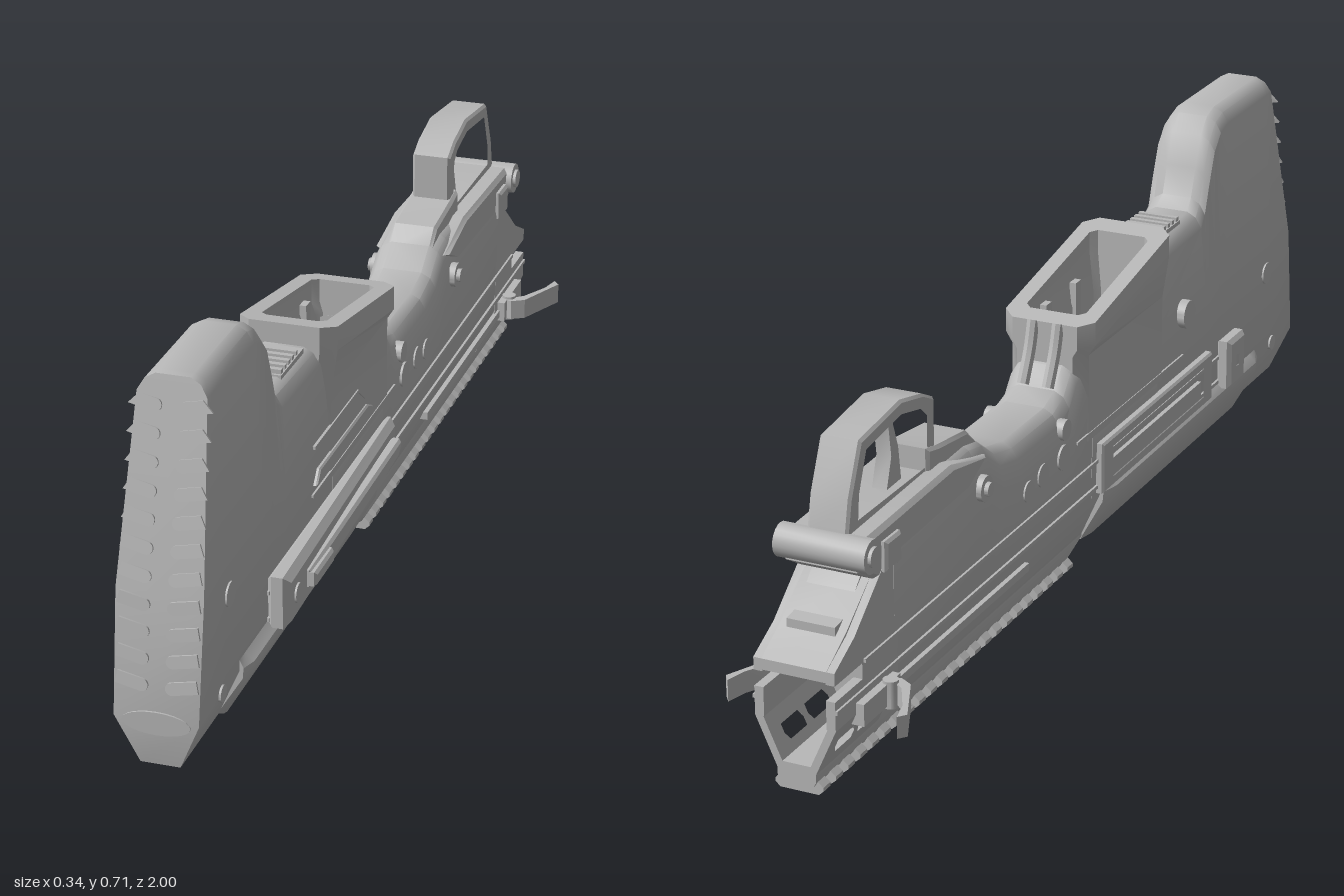
import * as THREE from 'three';
import { toCreasedNormals } from 'three/addons/utils/BufferGeometryUtils.js';

const grey = new THREE.MeshStandardMaterial({ color: 0xb8b8b8 });
grey.name = 'grey polymer';

// Loft through mirrored cross-sections, each { z, rows: [halfWidth, y, optional z] }, from +z to -z
function loft(stations) {
  const n = stations[0].rows.length, m = 2 * n, pos = [], idx = [];
  for (const { z, rows } of stations) {
    for (const [w, y, zz] of rows) pos.push(w, y, zz ?? z);
    for (const [w, y, zz] of [...rows].reverse()) pos.push(-w, y, zz ?? z);
  }
  for (let s = 0; s < stations.length - 1; s++)
    for (let i = 0; i < m; i++) {
      const a = s * m + i, b = s * m + (i + 1) % m;
      idx.push(a, a + m, b + m, a, b + m, b);
    }
  const last = (stations.length - 1) * m;
  for (let i = 0; i < n - 1; i++) {
    const r = i, r2 = i + 1, l = m - 1 - i, l2 = m - 2 - i;
    idx.push(l, r, r2, l, r2, l2);
    idx.push(last + l, last + r2, last + r, last + l, last + l2, last + r2);
  }
  const g = new THREE.BufferGeometry();
  g.setAttribute('position', new THREE.Float32BufferAttribute(pos, 3));
  g.setIndex(idx);
  return g;
}

const toPath = (pts, Type = THREE.Shape) => new Type(pts.map(([a, b]) => new THREE.Vector2(a, b)));

// Extrude a (z, y) outline between two x values
function side(pts, x0, x1, holes = [], bevel = 0) {
  const shape = toPath(pts);
  for (const h of holes) shape.holes.push(toPath(h, THREE.Path));
  const g = new THREE.ExtrudeGeometry(shape, {
    depth: x1 - x0 - 2 * bevel, bevelEnabled: bevel > 0, bevelSize: bevel, bevelOffset: -bevel,
    bevelThickness: bevel, bevelSegments: 1,
  });
  return g.rotateY(-Math.PI / 2).translate(x1 - bevel, 0, 0);
}

const rect = (z0, z1, y0, y1) => [[z0, y0], [z1, y0], [z1, y1], [z0, y1]];
const block = (x0, x1, y0, y1, z0, z1) => new THREE.BoxGeometry(x1 - x0, y1 - y0, z1 - z0)
  .translate((x0 + x1) / 2, (y0 + y1) / 2, (z0 + z1) / 2);
const pin = (x0, x1, y, z, r) => new THREE.CylinderGeometry(r, r, x1 - x0, 20)
  .rotateZ(Math.PI / 2).translate((x0 + x1) / 2, y, z);

function mirrored(geo) {
  const g = geo.index ? geo.toNonIndexed() : geo.clone();
  g.scale(-1, 1, 1);
  const p = g.attributes.position, a = new THREE.Vector3(), b = new THREE.Vector3();
  for (let i = 0; i < p.count; i += 3) {
    a.fromBufferAttribute(p, i + 1);
    b.fromBufferAttribute(p, i + 2);
    p.setXYZ(i + 1, b.x, b.y, b.z);
    p.setXYZ(i + 2, a.x, a.y, a.z);
  }
  return g;
}

// Butt face: z for a given height
const buttZ = (y) => y < 0.14 ? 0.985 + (y - 0.05) * 0.16 : y < 0.35 ? 1 - (y - 0.14) * 0.13 : 0.973 - (y - 0.35) * 0.235;

export function createModel() {
  const model = new THREE.Group();
  const add = (name, geo) => {
    const mesh = new THREE.Mesh(toCreasedNormals(geo, 0.55), grey);
    mesh.name = name;
    model.add(mesh);
    return mesh;
  };
  const pair = (name, geo) => { add(name + 'Left', geo); add(name + 'Right', mirrored(geo)); };

  // Main body: top line steps down for the well and the grip
  const section = (z, top, w = 0.06, butt = false) => {
    const mid = Math.min(0.36, top - 0.07);
    const rows = [[0.035, 0.05], [0.074, 0.14], [0.076, mid], [w, top - 0.03], [w - 0.012, top - 0.01], [w - 0.03, top]];
    return { z, rows: butt ? rows.map(([a, y]) => [a, y, buttZ(y)]) : rows };
  };
  add('body', loft([
    section(1, 0.71, 0.06, true), section(0.87, 0.71), section(0.67, 0.71), section(0.635, 0.7),
    section(0.605, 0.67), section(0.58, 0.61), section(0.56, 0.555), section(0.535, 0.535, 0.063),
    section(0.3, 0.53, 0.066), section(0.3, 0.31, 0.076), section(0.0, 0.31, 0.076),
    section(0.0, 0.44, 0.066), section(-0.05, 0.42, 0.066), section(-0.08, 0.385, 0.066), section(-0.13, 0.37, 0.068),
    section(-0.3, 0.37, 0.068), section(-0.37, 0.385, 0.068), section(-0.42, 0.42, 0.068),
    section(-0.47, 0.43, 0.068), section(-0.79, 0.42, 0.068),
  ]));

  // Butt pad grip tabs
  for (let i = 0; i < 11; i++) {
    const y = 0.2 + i * 0.046, s = new THREE.Shape();
    s.moveTo(0.045, -0.011).lineTo(0, -0.011);
    s.absarc(0, 0, 0.011, -Math.PI / 2, Math.PI / 2, true);
    s.lineTo(0.045 - Math.max(0, y - 0.35) * 0.045, 0.011);
    const g = new THREE.ExtrudeGeometry(s, { depth: 0.005, bevelEnabled: false, curveSegments: 6 });
    g.rotateZ(0.2).rotateX(y < 0.35 ? -0.13 : -0.23).translate(0.026, y, buttZ(y) - 0.001);
    pair('padTab' + i, g);
  }
  add('padToe', new THREE.CylinderGeometry(0.06, 0.06, 0.006, 24).rotateX(Math.PI / 2)
    .scale(1, 0.35, 1).translate(0, 0.135, buttZ(0.135)));

  // Open well with a slanted rim
  const ring = (w, z0, z1, c, Type) => toPath([[w - c, -z0], [w, -z0 + c], [w, -z1 - c], [w - c, -z1],
    [c - w, -z1], [-w, -z1 - c], [-w, -z0 + c], [c - w, -z0]], Type);
  const wellShape = ring(0.09, 0.34, -0.045, 0.025, THREE.Shape);
  wellShape.holes.push(ring(0.06, 0.295, -0.005, 0.012, THREE.Path));
  const well = new THREE.ExtrudeGeometry(wellShape, { depth: 3, steps: 3, bevelEnabled: false }).rotateX(-Math.PI / 2);
  const wp = well.attributes.position;
  for (let i = 0; i < wp.count; i++) {
    const level = Math.round(wp.getY(i)), top = 0.57 - (0.34 - wp.getZ(i)) * 0.18;
    wp.setY(i, [0.27, 0.44, top - 0.045, top][level]);
    if (level < 2) wp.setX(i, wp.getX(i) * 0.86);
  }
  add('well', well);
  for (const z of [0.07, 0.2]) pair('wellRib', block(0.045, 0.058, 0.31, 0.49, z - 0.012, z + 0.012));
  pair('wellLatch', new THREE.TubeGeometry(new THREE.CatmullRomCurve3([
    new THREE.Vector3(0.025, 0.5, -0.04), new THREE.Vector3(0.025, 0.45, -0.055), new THREE.Vector3(0.025, 0.39, -0.085),
  ]), 8, 0.012, 8));

  // Catch with ribs behind the well
  add('catch', block(-0.042, 0.042, 0.52, 0.537, 0.36, 0.48));
  for (let i = 0; i < 5; i++) add('catchRib', block(-0.04, 0.04, 0.535, 0.545, 0.385 + i * 0.02, 0.395 + i * 0.02));

  // Lower shell below the stock
  const shell = (z, k, yb) => ({ z, rows: [[0.034, yb], [0.04 * k, yb + 0.005], [0.088 * k, 0.125], [0.09 * k, 0.145], [0.074, 0.16]] });
  add('lowerShell', loft([shell(0.8, 0.9, 0.05), shell(0.77, 1, 0.034), shell(0.08, 1, 0.034), shell(0.04, 0.9, 0.04)]));

  // Rail with teeth
  add('railBase', loft([[0.05, 0.04], [-0.02, 0.018], [-1, 0.018]].map(([z, y]) =>
    ({ z, rows: [[0.03, y], [0.036, y + 0.01], [0.036, 0.055]] }))));
  for (let i = 0; i < 23; i++) {
    const z = -0.03 - i * 0.0432;
    add('railTooth', loft([z + 0.012, z - 0.012].map((v) =>
      ({ z: v, rows: [[0.036, 0.002], [0.045, 0.01], [0.045, 0.017], [0.03, 0.03]] }))));
  }

  // Hollow front end: slotted side walls, V panels, roof
  pair('frontWall', side([[-0.78, 0.13], [-1, 0.13], [-1, 0.183], [-0.905, 0.183], [-0.905, 0.212], [-1, 0.212],
    [-1, 0.235], [-0.93, 0.27], [-0.83, 0.35], [-0.78, 0.36]], 0.058, 0.075));
  const slot = (a, b) => [[a, 0.03], [b + 0.01, 0.03], [b, 0.045], [b, 0.062], [a - 0.01, 0.062], [a, 0.047]];
  const panel = side(rect(-0.78, -1, 0, 0.0985), -0.014, 0, [slot(-0.815, -0.885), slot(-0.9, -0.965)]);
  pair('frontPanel', panel.rotateZ(-Math.atan2(0.04, 0.09)).translate(0.035, 0.04, 0));
  add('frontRoof', side([[-0.78, 0.27], [-0.9, 0.25], [-1, 0.215], [-1, 0.235], [-0.93, 0.275], [-0.83, 0.35], [-0.78, 0.36]], -0.06, 0.06));
  add('roofStep', side([[-0.8, 0.3], [-0.94, 0.26], [-0.94, 0.285], [-0.9, 0.29], [-0.83, 0.36], [-0.8, 0.37]], -0.045, 0.045));

  // Guard carrier, guard and trigger
  add('guardCarrier', side([[-0.43, 0.4], [-0.55, 0.34], [-0.79, 0.31], [-0.85, 0.34], [-0.9, 0.37], [-0.89, 0.42], [-0.56, 0.43]],
    -0.074, 0.074, [], 0.008));
  add('guardStep', side([[-0.41, 0.41], [-0.6, 0.41], [-0.6, 0.47], [-0.56, 0.462], [-0.45, 0.448]], -0.045, 0.045, [], 0.006));
  add('guard', side([[-0.56, 0.41], [-0.88, 0.41], [-0.865, 0.48], [-0.825, 0.57], [-0.68, 0.588], [-0.6, 0.57], [-0.56, 0.55]],
    -0.038, 0.038, [[[-0.585, 0.43], [-0.845, 0.43], [-0.84, 0.48], [-0.81, 0.553], [-0.68, 0.568], [-0.61, 0.552], [-0.585, 0.53]]], 0.005));
  add('trigger', side([[-0.64, 0.42], [-0.695, 0.42], [-0.675, 0.48], [-0.685, 0.55], [-0.672, 0.55], [-0.65, 0.49]], -0.014, 0.014));
  add('pivot', pin(-0.085, 0.085, 0.395, -0.88, 0.03));
  pair('pivotCap', pin(0.085, 0.091, 0.395, -0.88, 0.018));
  pair('squareButton', side(rect(-0.775, -0.83, 0.345, 0.4), 0.07, 0.085, [], 0.005));

  // Pins and side buttons
  const pins = [[0.85, 0.31, 0.022, 0.079], [0.89, 0.145, 0.015, 0.078], [-0.13, 0.28, 0.024, 0.08],
    [-0.215, 0.278, 0.022, 0.079], [-0.275, 0.27, 0.02, 0.079], [-0.46, 0.35, 0.024, 0.086], [-0.46, 0.35, 0.013, 0.094], [-0.12, 0.33, 0.02, 0.08]];
  for (const [z, y, r, x] of pins) pair('sidePin', pin(0.06, x, y, z, r));
  add('roundButton', pin(-0.09, -0.06, 0.37, 0.42, 0.028));

  // Long seams and side rails
  pair('upperSeam', block(0.07, 0.079, 0.211, 0.218, -0.9, 0.66));
  pair('lowerSeam', block(0.07, 0.079, 0.16, 0.167, -1, 0.66));
  pair('shortSeam', block(0.07, 0.079, 0.281, 0.286, -0.07, 0.42));
  pair('sideRail', block(0.06, 0.08, 0.118, 0.133, -0.8, -0.28));
  pair('sideRailEnd', block(0.06, 0.09, 0.11, 0.15, -0.93, -0.8));

  // Raised panel outline on the left, above the handle
  add('sidePanel', side([[0.41, 0.3], [0.09, 0.3], [0.08, 0.31], [0.11, 0.325], [0.39, 0.325]], 0.07, 0.083, [], 0.003));
  add('panelEdge', side([[0.41, 0.37], [0.16, 0.37], [0.12, 0.34], [0.12, 0.346], [0.16, 0.376], [0.41, 0.376]], 0.07, 0.08));

  // Handle housing on the left, tapering toward the muzzle end
  const housing = side(rect(0.66, -0.01, 0.15, 0.247), 0.07, 0.115, [], 0.012);
  const hp = housing.attributes.position;
  for (let i = 0; i < hp.count; i++) if (hp.getZ(i) < 0.1 && hp.getX(i) > 0.09) hp.setX(i, hp.getX(i) - 0.015);
  add('handleHousing', housing);
  add('handleBar', side([[0.56, 0.183], [0.05, 0.195], [0.03, 0.21], [0.03, 0.225], [0.56, 0.215]], 0.1, 0.122, [], 0.005));
  add('handleKnob', side(rect(0.56, 0.46, 0.185, 0.212), 0.11, 0.131, [], 0.005));
  add('handlePin', pin(0.1, 0.118, 0.2, 0.615, 0.018));

  // Port frame and lug on the right
  add('portFrame', side(rect(0.54, 0.02, 0.15, 0.25), -0.09, -0.07, [rect(0.5, 0.06, 0.165, 0.235)], 0.004));
  add('portCover', block(-0.083, -0.07, 0.17, 0.2, 0.06, 0.5));
  add('sideLug', side(rect(0.68, 0.6, 0.15, 0.25), -0.103, -0.07, [rect(0.655, 0.625, 0.18, 0.22)], 0.008));

  // Folding ears at the front
  const ear = toPath([[0.06, 0.83], [0.1, 0.815], [0.125, 0.83], [0.17, 0.93], [0.158, 0.945], [0.148, 0.905], [0.118, 0.85], [0.1, 0.835], [0.06, 0.85]]);
  pair('ear', new THREE.ExtrudeGeometry(ear, { depth: 0.04, bevelEnabled: false }).rotateX(-Math.PI / 2).translate(0, 0.11, 0));
  pair('earHinge', new THREE.CylinderGeometry(0.014, 0.014, 0.05, 14).translate(0.09, 0.13, -0.835));
  return model;
}
